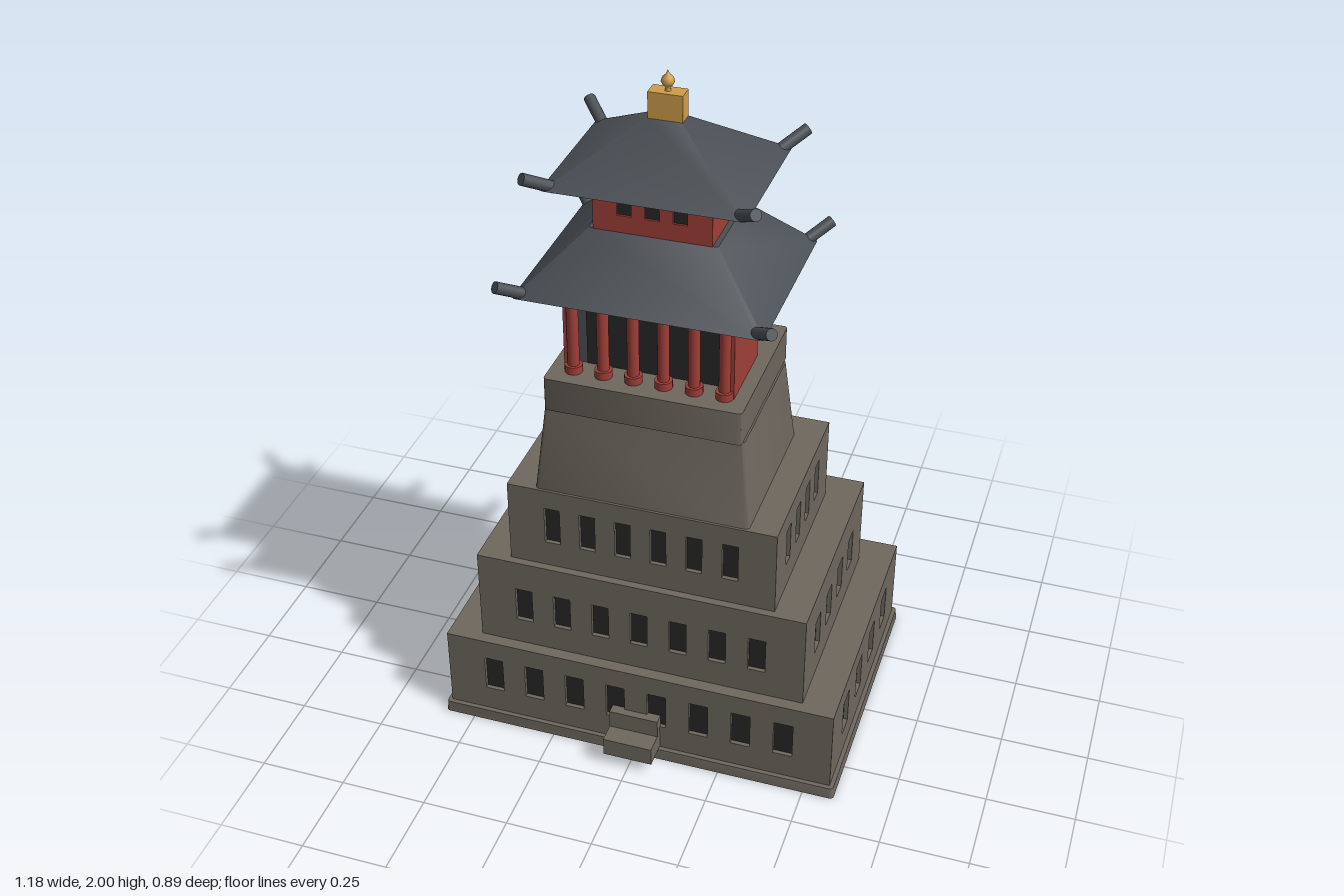
import * as THREE from 'three';
import { toCreasedNormals } from 'three/addons/utils/BufferGeometryUtils.js';

const mat = (name, color) => Object.assign(new THREE.MeshStandardMaterial({ color }), { name });
const stone = mat('stone', 0x6e675e);
const red = mat('red paint', 0xa03e37);
const slate = mat('slate', 0x4a4f55);
const dark = mat('dark opening', 0x282828);
const gold = mat('gold', 0xcf9f49);

const ROOF_Z = 0.06; // centre line of the upper pavilion

export function createModel() {
  const model = new THREE.Group();
  model.name = 'steppedTower';

  function add(name, geometry, material, x = 0, y = 0, z = 0, parent = model) {
    const mesh = new THREE.Mesh(geometry, material);
    mesh.name = name;
    mesh.position.set(x, y, z);
    parent.add(mesh);
    return mesh;
  }

  // Box given by its half width, y range and z range
  function block(name, material, hw, y0, y1, z0, z1, parent = model) {
    const geo = new THREE.BoxGeometry(hw * 2, y1 - y0, z1 - z0);
    return add(name, geo, material, 0, (y0 + y1) / 2, (z0 + z1) / 2, parent);
  }

  // Prism with rounded upright corners, tapering from a bottom to a top rectangle (half sizes)
  function taper(name, material, bottom, top, y0, y1, z, r) {
    const [w, d] = bottom;
    const shape = new THREE.Shape();
    shape.absarc(w - r, d - r, r, 0, Math.PI / 2);
    shape.absarc(r - w, d - r, r, Math.PI / 2, Math.PI);
    shape.absarc(r - w, r - d, r, Math.PI, Math.PI * 1.5);
    shape.absarc(w - r, r - d, r, Math.PI * 1.5, Math.PI * 2);
    let geo = new THREE.ExtrudeGeometry(shape, { depth: y1 - y0, bevelEnabled: false, curveSegments: 4 });
    geo.rotateX(-Math.PI / 2);
    const p = geo.attributes.position;
    for (let i = 0; i < p.count; i++) {
      if (p.getY(i) < (y1 - y0) / 2) continue;
      p.setX(i, p.getX(i) * top[0] / w);
      p.setZ(i, p.getZ(i) * top[1] / d);
    }
    geo = toCreasedNormals(geo, 0.6);
    return add(name, geo, material, 0, y0, z);
  }

  const rect = (Type, x0, x1, y0, y1) => new Type([
    [x0, y0], [x1, y0], [x1, y1], [x0, y1]].map(([x, y]) => new THREE.Vector2(x, y)));

  // Storey with a solid core, pierced outer walls and dark plates behind the openings
  function storey(name, material, hw, y0, y1, z0, z1, w0, w1, front, side, depth) {
    const group = new THREE.Group();
    group.name = name;
    model.add(group);
    const zc = (z0 + z1) / 2, hd = (z1 - z0) / 2;
    block('core', material, hw - depth, y0, y1, z0 + depth, z1 - depth, group);

    for (let k = 0; k < 4; k++) {
      const isSide = k % 2 === 1;
      const row = isSide ? side : front;
      const half = isSide ? hd - depth : hw;
      const out = isSide ? hw : hd;
      const wall = new THREE.Group();
      wall.name = 'wall';
      wall.position.z = zc;
      wall.rotation.y = k * Math.PI / 2;
      group.add(wall);

      const shape = rect(THREE.Shape, -half, half, y0, y1);
      for (let i = 0; i < row.n; i++) {
        const x = (i - (row.n - 1) / 2) * row.gap;
        shape.holes.push(rect(THREE.Path, x - row.w / 2, x + row.w / 2, w0, w1));
        add('window', new THREE.BoxGeometry(row.w, w1 - w0, 0.004), dark,
          x, (w0 + w1) / 2, out - depth, wall);
      }
      add('wallPanel', new THREE.ExtrudeGeometry(shape, { depth, bevelEnabled: false }),
        material, 0, 0, out - depth, wall);
    }
  }

  // Stone base and three stepped tiers
  taper('plinth', stone, [0.59, 0.415], [0.587, 0.412], 0, 0.034, -0.031, 0.012);
  storey('lowerTier', stone, 0.575, 0.034, 0.289, -0.43, 0.368, 0.112, 0.226,
    { n: 8, gap: 0.124, w: 0.056 }, { n: 4, gap: 0.158, w: 0.065 }, 0.014);
  storey('middleTier', stone, 0.478, 0.289, 0.577, -0.335, 0.334, 0.372, 0.482,
    { n: 7, gap: 0.114, w: 0.05 }, { n: 4, gap: 0.127, w: 0.057 }, 0.014);
  storey('upperTier', stone, 0.383, 0.577, 0.832, -0.245, 0.312, 0.656, 0.772,
    { n: 6, gap: 0.102, w: 0.045 }, { n: 4, gap: 0.101, w: 0.043 }, 0.014);

  // Entrance steps
  block('lowerStep', stone, 0.072, 0.036, 0.092, 0.36, 0.447);
  block('upperStep', stone, 0.072, 0.09, 0.148, 0.36, 0.39);

  // Tapered drum and platform
  taper('taperedBase', stone, [0.303, 0.235], [0.277, 0.206], 0.832, 1.087, 0.07, 0.012);
  taper('platform', stone, [0.272, 0.223], [0.272, 0.223], 1.087, 1.185, 0.067, 0.01);

  // Pillared hall: side and back walls around a recessed dark front
  block('hallBackWall', red, 0.233, 1.185, 1.445, 0.01, 0.03);
  for (const s of [-1, 1]) {
    add('hallSideWall', new THREE.BoxGeometry(0.02, 0.26, 0.215), red, s * 0.223, 1.315, 0.1225);
  }
  block('hallRecess', slate, 0.214, 1.185, 1.445, 0.025, 0.18);
  block('hallOpening', dark, 0.185, 1.187, 1.355, 0.178, 0.185);

  // Columns with base and capital rings
  for (let i = 0; i < 6; i++) {
    const column = new THREE.Group();
    column.name = 'column';
    column.position.set((i - 2.5) * 0.083, 1.185, 0.228);
    model.add(column);
    add('shaft', new THREE.CylinderGeometry(0.016, 0.016, 0.255, 20), red, 0, 0.1275, 0, column);
    for (const y of [0.011, 0.244]) {
      add('ring', new THREE.CylinderGeometry(0.024, 0.024, 0.022, 20), red, 0, y, 0, column);
    }
  }

  // Upward-turned rods at the four corners of a roof
  function cornerRods(name, x, dz, y) {
    for (const sx of [-1, 1]) for (const sz of [-1, 1]) {
      const dir = new THREE.Vector3(sx * 0.06, 0.042, sz * 0.06);
      const rod = add(name, new THREE.CylinderGeometry(0.016, 0.016, dir.length(), 16), slate,
        sx * x, y, ROOF_Z + sz * dz);
      rod.quaternion.setFromUnitVectors(new THREE.Vector3(0, 1, 0), dir.normalize());
    }
  }

  // Lower roof, upper room, upper roof
  taper('lowerRoof', slate, [0.333, 0.268], [0.172, 0.126], 1.44, 1.6, ROOF_Z, 0.012);
  cornerRods('lowerCornerRod', 0.332, 0.27, 1.464);
  storey('upperRoom', red, 0.158, 1.6, 1.733, -0.064, 0.189, 1.648, 1.7,
    { n: 3, gap: 0.074, w: 0.038 }, { n: 2, gap: 0.08, w: 0.042 }, 0.008);
  taper('upperRoof', slate, [0.267, 0.213], [0.044, 0.022], 1.73, 1.874, ROOF_Z, 0.012);
  cornerRods('upperCornerRod', 0.269, 0.214, 1.752);

  // Gold ridge block and pointed finial
  block('ridgeBlock', gold, 0.046, 1.87, 1.945, ROOF_Z - 0.023, ROOF_Z + 0.023);
  const finial = [[0.008, 0], [0.006, 0.01], [0.013, 0.015], [0.018, 0.025], [0.014, 0.036],
    [0.006, 0.043], [0, 0.055]].map(([x, y]) => new THREE.Vector2(x, y));
  add('finial', new THREE.LatheGeometry(finial, 16), gold, 0, 1.945, ROOF_Z);

  return model;
}
